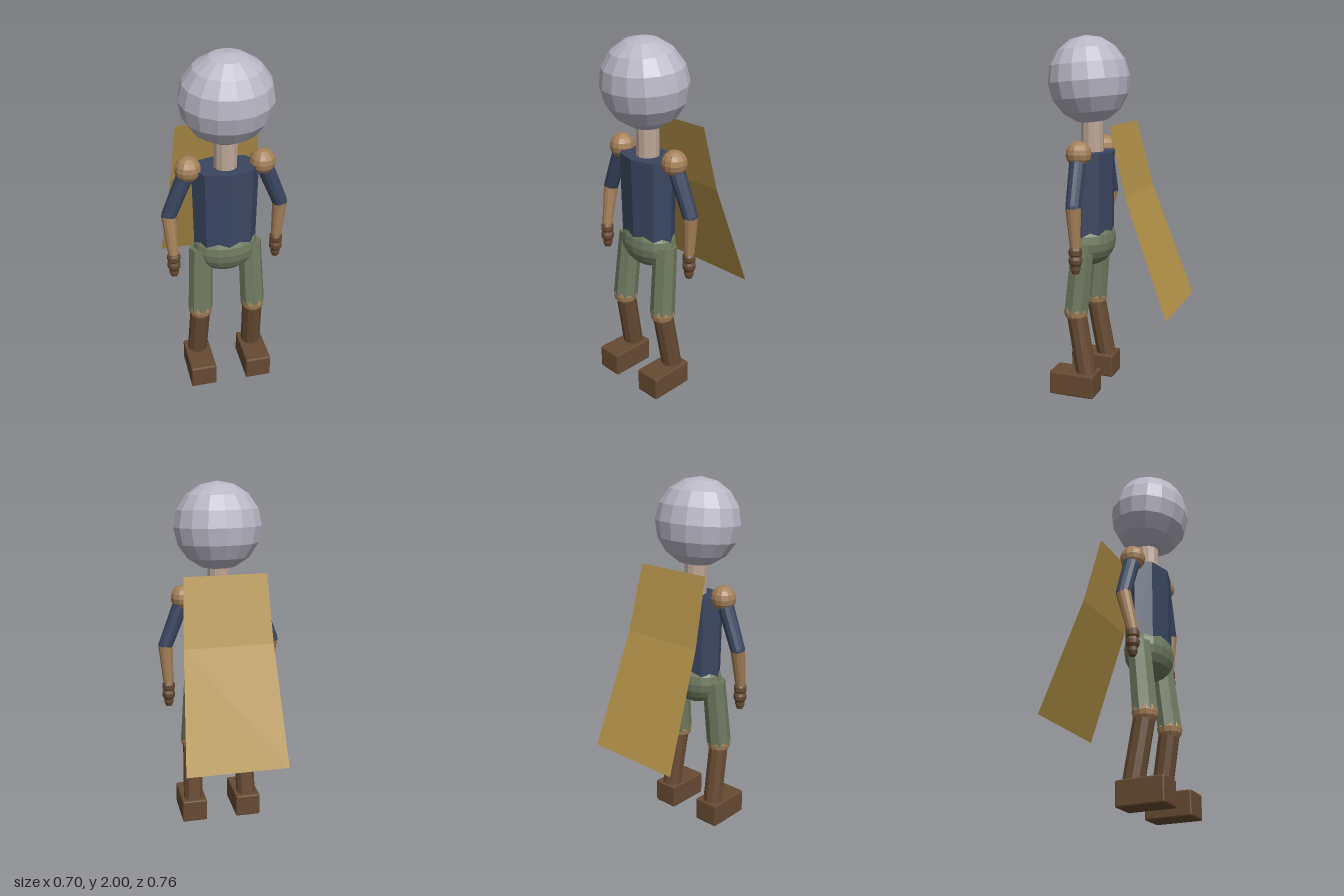
import * as THREE from 'three';
import { RoundedBoxGeometry } from 'three/addons/geometries/RoundedBoxGeometry.js';

const material = (name, color, flatShading = true, side = THREE.FrontSide) =>
  Object.assign(new THREE.MeshStandardMaterial({ color, flatShading, side }), { name });

export function createModel() {
  const silver = material('silver', 0xb9b7c4);
  const skin = material('pale skin', 0xbda797);
  const navy = material('navy cloth', 0x3a4660);
  const green = material('green cloth', 0x6f7a60);
  const tan = material('tan', 0xa58159);
  const brown = material('brown leather', 0x664a32);
  const gold = material('gold cloth', 0xb5934a, true, THREE.DoubleSide);

  const model = new THREE.Group();
  model.name = 'capedFigure';
  // The arms swing unevenly, so the body sits a touch off centre
  const body = new THREE.Group();
  body.name = 'body';
  body.position.x = -0.004;
  model.add(body);

  const add = (name, geometry, mat, x = 0, y = 0, z = 0) => {
    const mesh = new THREE.Mesh(geometry, mat);
    mesh.name = name;
    mesh.position.set(x, y, z);
    body.add(mesh);
    return mesh;
  };

  const ball = (name, mat, p, r, w = 12, h = 8) =>
    add(name, new THREE.SphereGeometry(r, w, h), mat, ...p);

  // Tapered cylinder running from point a (top) to point b (bottom)
  const limb = (name, mat, a, b, ra, rb, sides) => {
    const top = new THREE.Vector3(...a);
    const bottom = new THREE.Vector3(...b);
    const axis = top.clone().sub(bottom);
    const mesh = add(name, new THREE.CylinderGeometry(ra, rb, axis.length(), sides), mat);
    mesh.position.copy(top).add(bottom).multiplyScalar(0.5);
    mesh.quaternion.setFromUnitVectors(new THREE.Vector3(0, 1, 0), axis.normalize());
    return mesh;
  };

  // Head, tipped slightly forward
  const head = ball('head', silver, [0, 1.76, 0.153], 0.245, 16, 8);
  head.scale.set(1, 0.98, 0.91);
  head.rotation.x = 0.09;
  limb('neck', skin, [0, 1.56, 0.135], [0, 1.36, 0.135], 0.063, 0.063, 12);

  // Eight-sided torso over a rounded pelvis
  add('torso', new THREE.CylinderGeometry(0.182, 0.172, 0.5, 8), navy, 0, 1.12, 0.135)
    .scale.z = 0.66;
  ball('pelvis', green, [0, 0.87, 0.135], 0.18, 16, 10).scale.set(1, 0.8, 0.69);

  // Hand outline: cuff, palm and closed fingers
  const handProfile = [[0, -0.145], [0.018, -0.142], [0.026, -0.12], [0.026, -0.1], [0.036, -0.082],
    [0.037, -0.062], [0.03, -0.045], [0.036, -0.035], [0.036, -0.01], [0.028, 0.004], [0, 0.006]]
    .map(([r, y]) => new THREE.Vector2(r, y));

  for (const side of [-1, 1]) {
    const label = side > 0 ? 'left' : 'right';

    // Arm; the right one swings forward
    const shoulder = [side * 0.2, 1.375, 0.137];
    const elbow = [side * 0.308, 1.105, side > 0 ? 0.127 : 0.135];
    const wrist = [side * 0.297, 0.885, side > 0 ? 0.121 : 0.182];
    ball(label + 'Shoulder', tan, shoulder, 0.07);
    limb(label + 'UpperArm', navy, shoulder, elbow, 0.046, 0.041, 12);
    ball(label + 'Elbow', navy, elbow, 0.041);
    limb(label + 'Forearm', tan, elbow, wrist, 0.041, 0.029, 12);
    add(label + 'Hand', new THREE.LatheGeometry(handProfile, 12), brown, ...wrist);

    // Bent leg with a boot
    const hip = [side * 0.138, 0.88, 0.142];
    const knee = [side * 0.153, 0.485, 0.18];
    const ankle = [side * 0.165, 0.11, 0.115];
    limb(label + 'Thigh', green, hip, knee, 0.065, 0.07, 8);
    ball(label + 'Knee', tan, knee, 0.069);
    limb(label + 'Shin', brown, knee, ankle, 0.057, 0.057, 10);
    add(label + 'Foot', new RoundedBoxGeometry(0.148, 0.135, 0.262, 1, 0.008), brown,
      side * 0.164, 0.0675, 0.184);
  }

  // Cape: three rows of [half width, y, z], flaring out behind
  const rows = [[0.228, 1.53, -0.05], [0.247, 1.16, -0.142], [0.284, 0.525, -0.38]];
  const cape = new THREE.PlaneGeometry(2, 1, 1, 2);
  const points = cape.attributes.position;
  for (let i = 0; i < points.count; i++) {
    const [half, y, z] = rows[Math.floor(i / 2)];
    points.setXYZ(i, points.getX(i) * half, y, z);
  }
  cape.computeVertexNormals();
  add('cape', cape, gold);

  return model;
}
